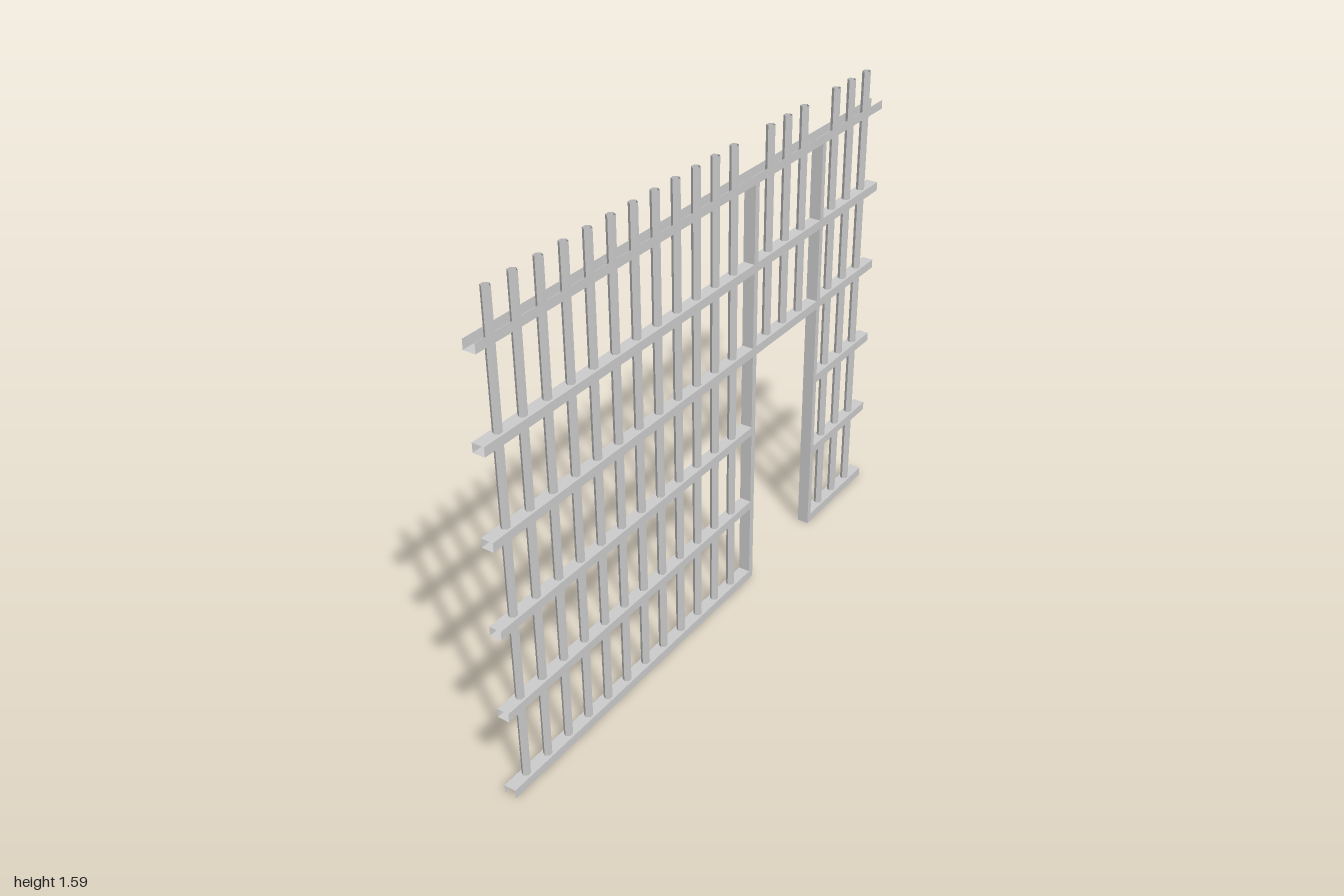
import * as THREE from 'three';

const material = new THREE.MeshStandardMaterial({ color: 0xcccccc, flatShading: true, side: THREE.DoubleSide });
const WIDTH = 0.04, RAIL = 0.03, PITCH = 0.289, TOP = 1.593;
const FACES = ['+x', '-x', '+y', '-y', '+z', '-z'];

// Hollow square section: a box that keeps only the listed faces
function section(name, faces, y0, y1, z0, z1) {
  const geo = new THREE.BoxGeometry(WIDTH, y1 - y0, z1 - z0);
  const all = Array.from(geo.index.array);
  geo.setIndex(FACES.flatMap((f, i) => (faces.includes(f) ? all.slice(i * 6, i * 6 + 6) : [])));
  geo.clearGroups();
  geo.translate(0, (y0 + y1) / 2, (z0 + z1) / 2);
  const mesh = new THREE.Mesh(geo, material);
  mesh.name = name;
  return mesh;
}

// Six-sided upright bar, an open tube
function bar(z, y0) {
  const geo = new THREE.CylinderGeometry(0.0138, 0.0138, TOP - y0, 6, 1, true);
  geo.translate(0, (TOP + y0) / 2, z);
  const mesh = new THREE.Mesh(geo, material);
  mesh.name = 'bar';
  return mesh;
}

// Door post, with a joint left open wherever a rail runs into it
function doorPost(name, z0, z1, doorSide) {
  const post = new THREE.Group();
  post.name = name;
  for (let i = 0; i < 6; i++) {
    const y = i * PITCH;
    const jointFaces = i < 3 ? ['+x', '-x', doorSide] : ['+x', '-x'];
    post.add(section('postJoint', jointFaces, y, y + RAIL, z0, z1));
    if (i < 5) post.add(section('postLength', ['+x', '-x', '+z', '-z'], y + RAIL, y + PITCH, z0, z1));
  }
  return post;
}

export function createModel() {
  const model = new THREE.Group();
  model.name = 'barredWall';

  // Bays: extent along z, lowest rail, first bar and number of bars
  const bays = [
    { name: 'wideBay', z0: -0.228, z1: 1, first: 0, barZ: 0.927, count: 12 },
    { name: 'overDoorBay', z0: -0.619, z1: -0.249, first: 3, barZ: -0.336, count: 3 },
    { name: 'narrowBay', z0: -1, z1: -0.639, first: 0, barZ: -0.723, count: 3 },
  ];
  for (const bay of bays) {
    const group = new THREE.Group();
    group.name = bay.name;
    // Open-ended rails; the lowest is a channel open below, the highest one open above
    for (let i = bay.first; i < 6; i++) {
      const faces = ['+x', '-x'];
      if (i > 0) faces.push('-y');
      if (i < 5) faces.push('+y');
      group.add(section('rail', faces, i * PITCH, i * PITCH + RAIL, bay.z0, bay.z1));
    }
    for (let k = 0; k < bay.count; k++) {
      group.add(bar(bay.barZ - k * 0.097, bay.first * PITCH + 0.01));
    }
    model.add(group);
  }

  // Posts on both sides of the doorway
  model.add(doorPost('frontDoorPost', -0.249, -0.228, '-z'));
  model.add(doorPost('backDoorPost', -0.639, -0.619, '+z'));
  return model;
}
